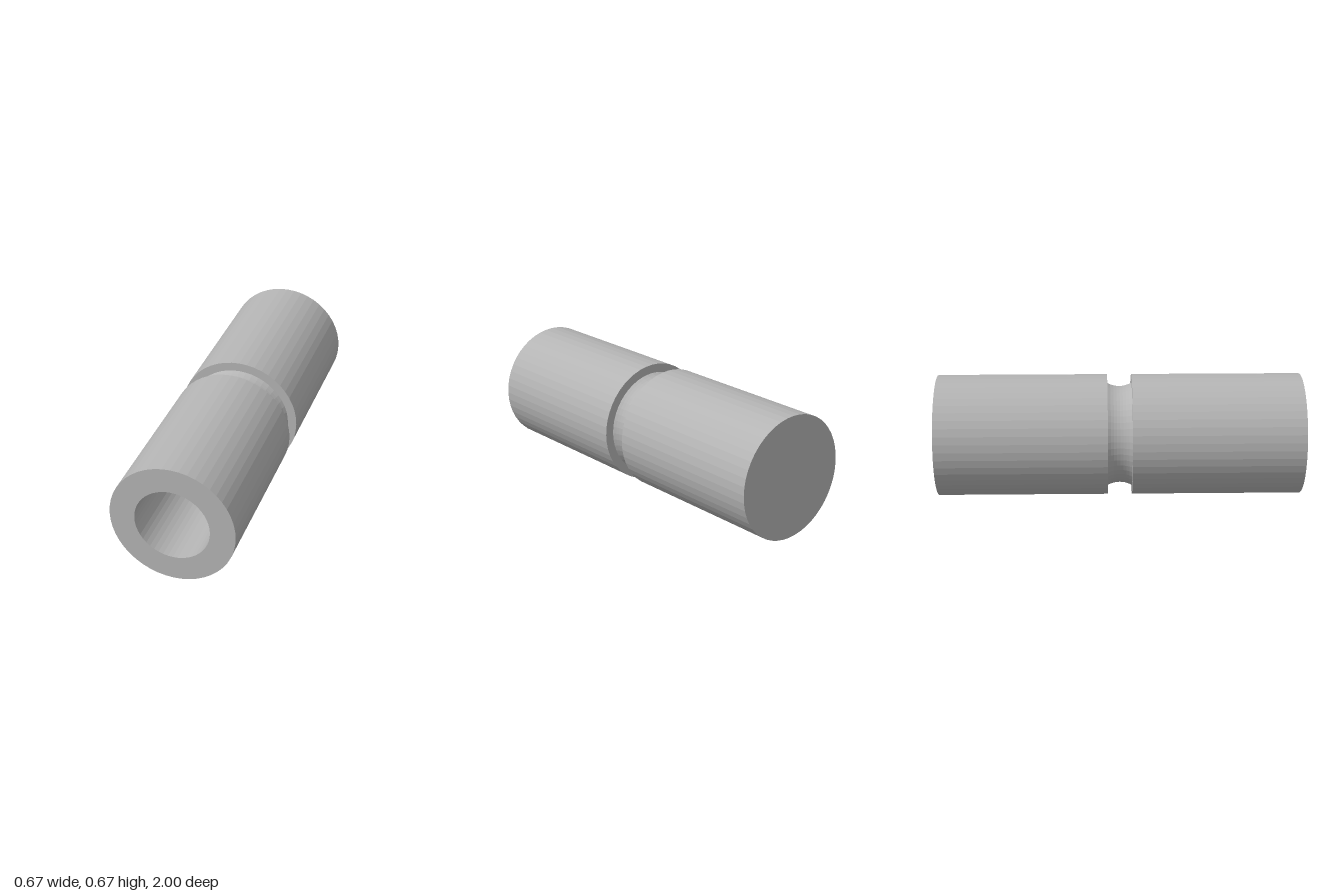
import * as THREE from 'three';

const RADIUS = 1 / 3, BORE = 0.2, HALF_GAP = 0.067, NECK = 0.267, SIDES = 48;

export function createModel() {
  const group = new THREE.Group();
  group.name = 'groovedPin';
  const steel = new THREE.MeshStandardMaterial({ color: 0xb4b4b4, flatShading: true });
  steel.name = 'grey steel';

  // Turns a [radius, z] profile about the z axis
  const turn = (name, profile) => {
    const points = profile.map(([r, z]) => new THREE.Vector2(r, z));
    const geometry = new THREE.LatheGeometry(points, SIDES).rotateX(Math.PI / 2);
    const mesh = new THREE.Mesh(geometry, steel);
    mesh.name = name;
    mesh.position.y = RADIUS;
    group.add(mesh);
  };

  // Concave neck: an arc dipping to its smallest radius at the middle
  const arc = 0.133, steps = 8;
  const neck = Array.from({ length: steps + 1 }, (_, i) => {
    const z = HALF_GAP * (2 * i / steps - 1);
    return [NECK + arc - Math.sqrt(arc * arc - z * z), z];
  });
  const shoulder = neck[0][0];

  turn('backBarrel', [[0, -1], [RADIUS, -1], [RADIUS, -HALF_GAP], [shoulder, -HALF_GAP]]);
  turn('grooveNeck', neck);
  turn('frontBarrel', [[shoulder, HALF_GAP], [RADIUS, HALF_GAP], [RADIUS, 1], [BORE, 1]]);

  // Blind hole in the front end
  turn('bore', [[BORE, 1], [BORE, 0], [0, 0]]);
  return group;
}
